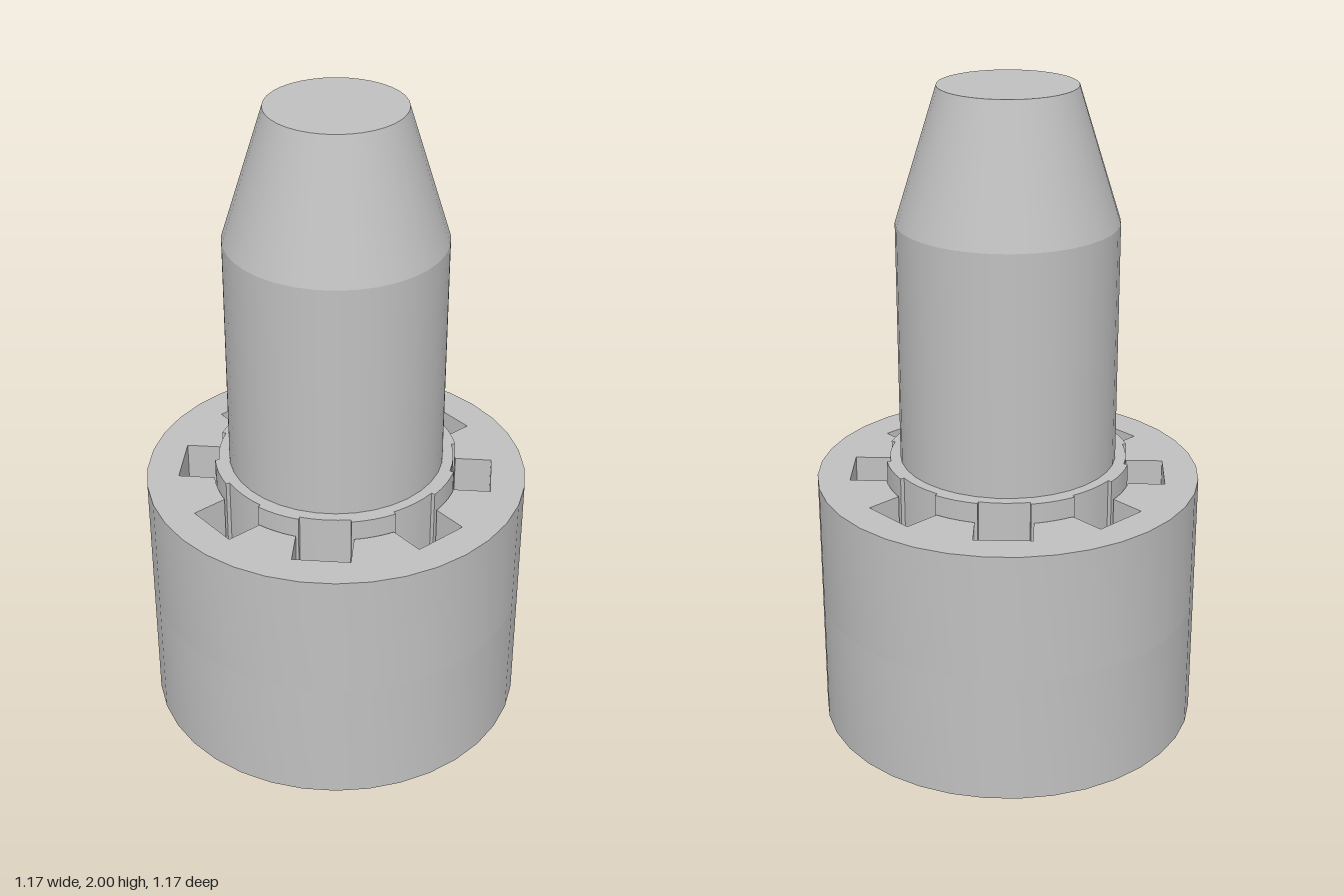
import * as THREE from 'three';
import { toCreasedNormals } from 'three/addons/utils/BufferGeometryUtils.js';

const polar = (r, a) => new THREE.Vector2(r * Math.cos(a), r * Math.sin(a));

// Round bore with square-ended slots spread evenly around it
function slottedBore(count, bore = 0.378, end = 0.48, half = 0.086) {
  const points = [];
  const spread = Math.asin(half / bore);
  const step = (Math.PI * 2) / count;
  const arcSteps = 24 / count;
  for (let i = 0; i < count; i++) {
    const a = i * step;
    const reach = Math.hypot(end, half), tilt = Math.atan2(half, end);
    points.push(polar(reach, a - tilt), polar(reach, a + tilt));
    for (let k = 0; k <= arcSteps * 2; k++) {
      points.push(polar(bore, a + spread + ((step - 2 * spread) * k) / (arcSteps * 2)));
    }
  }
  return points;
}

// Ring with eight shallow lugs sitting between the slots
function luggedRing() {
  const points = [];
  const half = THREE.MathUtils.degToRad(12);
  const step = Math.PI / 4;
  for (let i = 0; i < 8; i++) {
    const a = i * step;
    for (let k = -2; k <= 2; k++) points.push(polar(0.362, a + (half * k) / 2));
    for (let k = 0; k <= 4; k++) points.push(polar(0.374, a + half + ((step - 2 * half) * k) / 4));
  }
  return points;
}

const circle = (r, n) => Array.from({ length: n }, (_, i) => polar(r, (i / n) * Math.PI * 2));

// Upright prism with a hole, between two heights
function prism(outline, hole, y0, y1) {
  const shape = new THREE.Shape(outline);
  shape.holes.push(new THREE.Path(hole));
  const geometry = new THREE.ExtrudeGeometry(shape, { depth: y1 - y0, bevelEnabled: false });
  geometry.rotateX(-Math.PI / 2).translate(0, y0, 0);
  return toCreasedNormals(geometry, 0.5);
}

export function createModel() {
  const group = new THREE.Group();
  const grey = new THREE.MeshStandardMaterial({ color: 0xc0c0c0 });
  grey.name = 'grey';

  const add = (name, geometry) => {
    const mesh = new THREE.Mesh(geometry, grey);
    mesh.name = name;
    group.add(mesh);
  };

  // Housing: four slots run right through, four diagonal ones stop halfway
  const floor = 0.4;
  add('housingLower', prism(circle(0.586, 36), slottedBore(4), 0, floor));
  add('housingUpper', prism(circle(0.586, 36), slottedBore(8), floor, 0.8));

  // Hollow lugged collar inside the bore
  add('collar', prism(luggedRing(), circle(0.185, 36), 0.17, 0.86));

  // Plunger shaft and tapered tip
  add('plungerShaft', new THREE.CylinderGeometry(0.33, 0.33, 0.74, 36).translate(0, 1.23, 0));
  add('plungerTip', new THREE.CylinderGeometry(0.205, 0.33, 0.4, 36).translate(0, 1.8, 0));

  return group;
}
